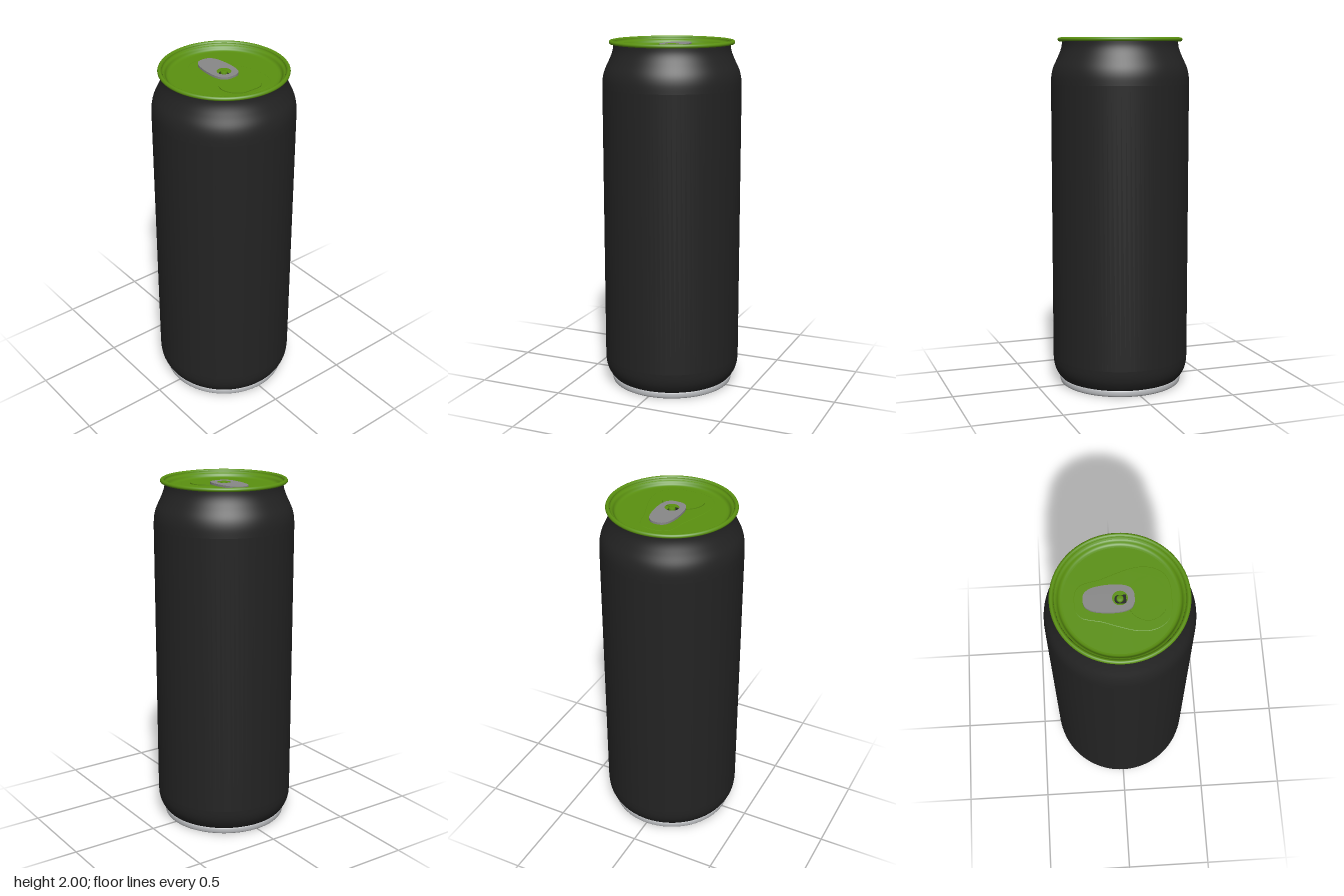
import * as THREE from 'three';

const mat = (name, color) => Object.assign(new THREE.MeshStandardMaterial({ color }), { name });

// Surface of revolution from [radius, height] pairs, listed from bottom outside to top inside
function turned(name, pts, material, smooth = false) {
  let profile = pts.map(([r, y]) => new THREE.Vector2(r, y));
  if (smooth) profile = new THREE.SplineCurve(profile).getPoints(pts.length * 4);
  const mesh = new THREE.Mesh(new THREE.LatheGeometry(profile, 96), material);
  mesh.name = name;
  return mesh;
}

// Closed outline from the right half, given as [x, z] pairs from back to front
function outline(half) {
  const mirrored = half.filter(([x]) => x > 0).reverse().map(([x, z]) => [-x, z]);
  const pts = [...half, ...mirrored].map(([x, z]) => new THREE.Vector3(x, -z, 0));
  const curve = new THREE.CatmullRomCurve3(pts, true, 'centripetal');
  return new THREE.Shape(curve.getPoints(96).slice(0, -1).map((p) => new THREE.Vector2(p.x, p.y)));
}

// Flat plate lying on height y
function plate(name, shape, y, depth, material, bevel = 0) {
  const geo = new THREE.ExtrudeGeometry(shape, {
    depth, curveSegments: 32, bevelEnabled: bevel > 0, bevelSegments: 1,
    bevelSize: bevel, bevelOffset: -bevel, bevelThickness: 0.003,
  });
  geo.rotateX(-Math.PI / 2);
  const mesh = new THREE.Mesh(geo, material);
  mesh.position.y = y;
  mesh.name = name;
  return mesh;
}

export function createModel() {
  const black = mat('black paint', 0x232323);
  const green = mat('green lid', 0x5a9010);
  const grey = mat('grey tab', 0x888888);
  const silver = mat('silver base', 0xb8babd);
  const can = new THREE.Group();
  can.name = 'can';

  // Painted shell: bottom taper, straight wall, shoulder and neck
  can.add(
    turned('bottomTaper', [[0.347, 0.035], [0.362, 0.052], [0.38, 0.085], [0.389, 0.12], [0.392, 0.16]], black, true),
    turned('wall', [[0.392, 0.16], [0.392, 1.74]], black),
    turned('shoulder', [[0.392, 1.74], [0.389, 1.79], [0.378, 1.835], [0.355, 1.885],
      [0.338, 1.925], [0.33, 1.955], [0.328, 1.985]], black, true),
  );

  // Silver foot and the domed underside with its dark centre
  can.add(
    turned('dome', [[0.18, 0.06], [0.23, 0.052], [0.28, 0.036], [0.315, 0.016], [0.335, 0.003], [0.342, 0]], silver, true),
    turned('footRing', [[0.342, 0], [0.35, 0.006], [0.353, 0.018], [0.352, 0.032], [0.347, 0.04]], silver, true),
  );
  const centre = new THREE.Mesh(new THREE.CircleGeometry(0.181, 64).rotateX(Math.PI / 2), black);
  centre.position.y = 0.06;
  centre.name = 'undersideCentre';
  can.add(centre);

  // Lid: rolled rim, inner step, sloped wall and flat panel
  const panelY = 1.955;
  can.add(
    turned('rim', [[0.326, 1.978], [0.343, 1.978], [0.351, 1.983], [0.352, 1.991], [0.347, 1.998],
      [0.341, 2], [0.335, 1.998], [0.33, 1.992]], green, true),
    turned('rimStep', [[0.33, 1.992], [0.329, 1.982], [0.321, 1.98]], green),
    turned('lidWall', [[0.321, 1.98], [0.314, 1.974], [0.307, 1.963], [0.299, 1.957], [0.288, panelY]], green, true),
    turned('lidPanel', [[0.288, panelY], [0, panelY]], green),
  );

  // Embossed panel and pour opening
  const emboss = outline([[0, -0.235], [0.055, -0.228], [0.092, -0.2], [0.107, -0.16], [0.118, -0.105],
    [0.15, -0.015], [0.173, 0.06], [0.18, 0.125], [0.165, 0.19], [0.125, 0.24], [0.06, 0.262], [0, 0.264]]);
  const mouth = outline([[0, 0.034], [0.055, 0.043], [0.1, 0.08], [0.12, 0.135], [0.104, 0.188],
    [0.06, 0.227], [0, 0.232]]);
  can.add(
    plate('embossedPanel', emboss, panelY - 0.003, 0.001, green, 0.008),
    plate('pourOpening', mouth, panelY, 0.006, green),
  );

  // Pull tab with a round hole, rivet and slot
  const tabShape = outline([[0, -0.186], [0.035, -0.178], [0.059, -0.147], [0.072, -0.09], [0.075, -0.04],
    [0.071, 0.015], [0.056, 0.053], [0.03, 0.07], [0, 0.073]]);
  const hole = new THREE.Path();
  hole.absarc(0, 0, 0.039, 0, Math.PI * 2, true);
  tabShape.holes.push(hole);
  const slot = new THREE.Shape();
  slot.moveTo(-0.022, -0.031).lineTo(0.022, -0.031).lineTo(0.022, 0.006);
  slot.absarc(0, 0.006, 0.022, 0, Math.PI, false);
  can.add(
    plate('pullTab', tabShape, 1.966, 0.012, grey),
    plate('tabSlot', slot, 1.96, 0.005, black),
    turned('rivet', [[0.018, panelY], [0.018, 1.974], [0.014, 1.978], [0, 1.978]], green),
  );
  return can;
}
